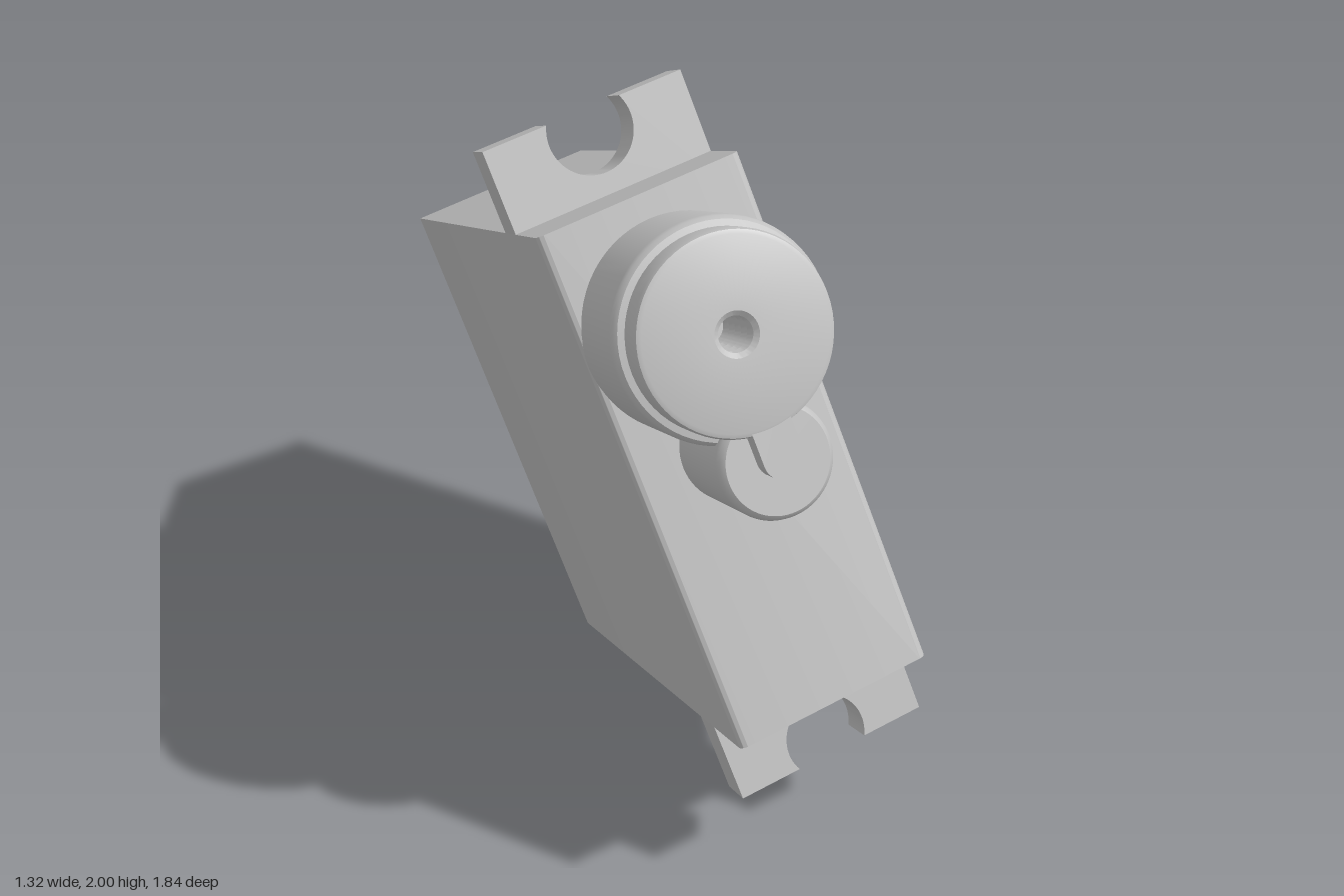
import * as THREE from 'three';
import { toCreasedNormals } from 'three/addons/utils/BufferGeometryUtils.js';

const HALF_W = 0.2675, HALF_L = 0.6825, HALF_D = 0.695;

export function createModel() {
  const grey = new THREE.MeshStandardMaterial({ color: 0xc0c0c0 });
  grey.name = 'greyPlastic';

  const root = new THREE.Group();
  root.name = 'servoMotor';
  const body = new THREE.Group();
  body.name = 'servoBody';
  root.add(body);

  const add = (name, geometry) => {
    const mesh = new THREE.Mesh(toCreasedNormals(geometry, 0.6), grey);
    mesh.name = name;
    body.add(mesh);
    return mesh;
  };
  const extrude = (shape, depth) =>
    new THREE.ExtrudeGeometry(shape, { depth, bevelEnabled: false, curveSegments: 24 });
  // Profile of [radius, height] pairs turned about the z axis
  const turned = (profile) =>
    new THREE.LatheGeometry(profile.map(([r, h]) => new THREE.Vector2(r, h)), 64).rotateX(Math.PI / 2);

  // Case: cross-section with slightly rounded long front edges
  const r = 0.02;
  const section = new THREE.Shape();
  section.moveTo(-HALF_W, HALF_D);
  section.lineTo(-HALF_W, -HALF_D + r);
  section.absarc(-HALF_W + r, -HALF_D + r, r, Math.PI, Math.PI * 1.5, false);
  section.absarc(HALF_W - r, -HALF_D + r, r, Math.PI * 1.5, Math.PI * 2, false);
  section.lineTo(HALF_W, HALF_D);
  section.closePath();
  add('case', extrude(section, HALF_L * 2).rotateX(-Math.PI / 2).translate(0, -HALF_L, 0));

  // Mounting tabs with open round screw notches
  const tab = new THREE.Shape();
  tab.moveTo(-HALF_W, 0.6);
  tab.lineTo(HALF_W, 0.6);
  tab.lineTo(HALF_W, 0.895);
  tab.lineTo(0.098, 0.895);
  tab.absarc(0, 0.845, 0.11, 0.47, Math.PI - 0.47, true);
  tab.lineTo(-HALF_W, 0.895);
  tab.closePath();
  for (const [name, turn] of [['upperTab', 0], ['lowerTab', Math.PI]]) {
    add(name, extrude(tab, 0.105).rotateZ(turn).translate(0, 0, 0.387));
  }

  // Main gear housing with a raised cap and a threaded blind hole
  const hub = [[0.265, 0.6], [0.265, 0.925], [0.262, 0.94], [0.254, 0.95], [0.238, 0.953],
    [0.238, 1.015], [0.234, 1.026], [0.224, 1.03], [0.054, 1.03]];
  for (let i = 0; i < 10; i++) hub.push([i % 2 ? 0.052 : 0.042, 1.02 - i * 0.02]);
  hub.push([0.042, 0.82], [0, 0.82]);
  add('gearHousing', turned(hub)).position.y = 0.355;

  // Smaller idler housing below it
  add('idlerHousing', turned([[0.143, 0.6], [0.143, 0.955], [0.139, 0.97], [0.128, 0.98], [0, 0.98]]))
    .position.y = 0.035;

  // Rounded tongue running from the cap onto the idler housing
  const tongue = new THREE.Shape();
  tongue.moveTo(0.05, 0.2);
  tongue.lineTo(-0.05, 0.2);
  tongue.absarc(0, 0.05, 0.05, Math.PI, Math.PI * 2, false);
  tongue.closePath();
  add('tongue', extrude(tongue, 0.1).translate(0, 0, 0.928));

  // Tilted resting pose, standing on one corner
  const w = new THREE.Vector3(0.2533, 0.4065, 0.8777).normalize();
  const v = new THREE.Vector3(-0.3385, 0.8865, -0.315);
  const u = new THREE.Vector3().crossVectors(v, w).normalize();
  v.crossVectors(w, u);
  body.quaternion.setFromRotationMatrix(new THREE.Matrix4().makeBasis(u, v, w));
  body.position.set(-0.008, 0.948, -0.005);
  return root;
}
